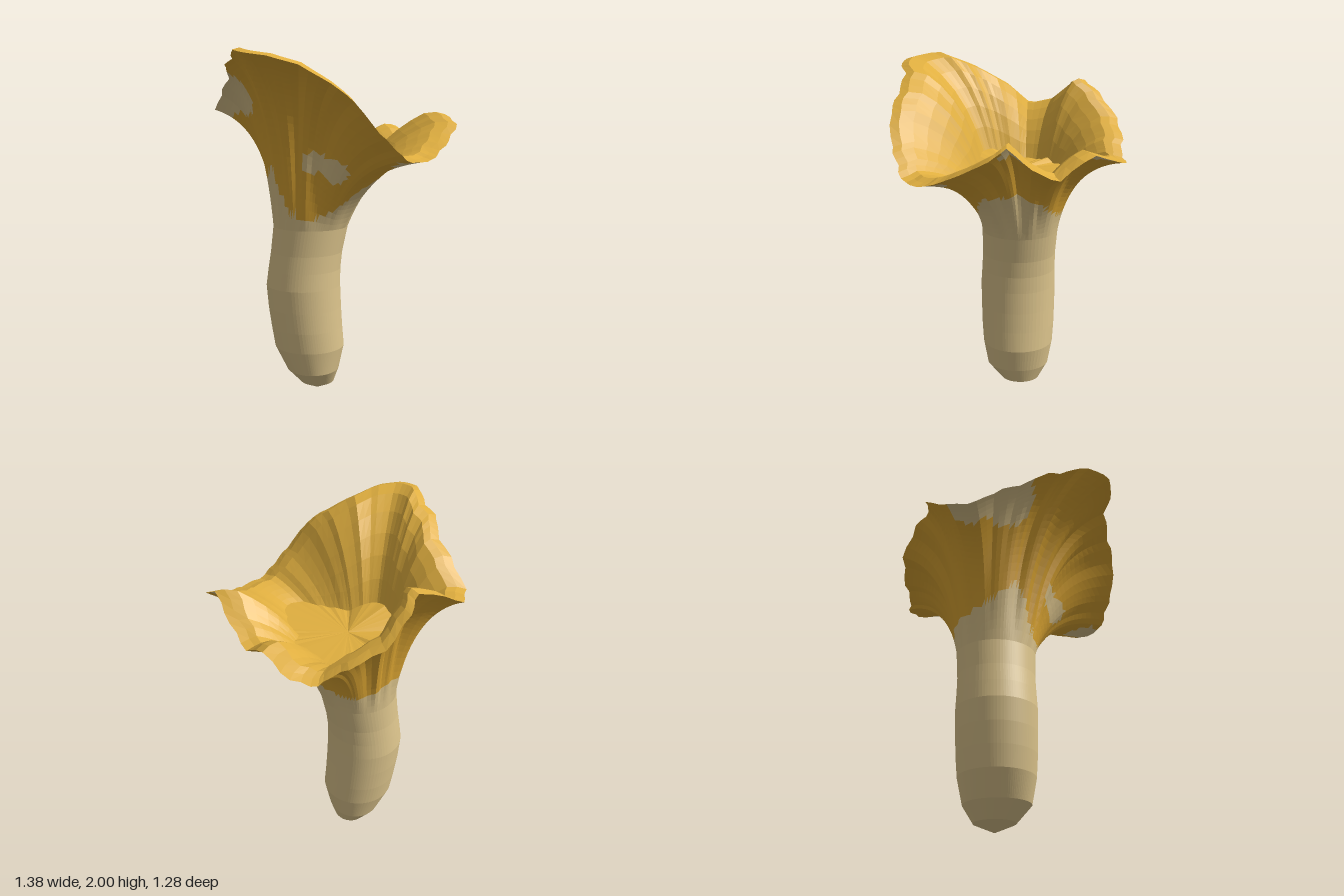
import * as THREE from 'three';

const N = 90;        // segments around
const ROWS = 22;     // rows on the flaring underside
const NECK = 1.0;    // height where the stem starts to flare
const FLOOR = 1.35;  // underside height below the edge of the cap floor

// Wavy rim: x, height, z
const RIM = [
  [.63, 1.65, 0], [.69, 1.6, .08], [.63, 1.52, .22], [.55, 1.45, .36], [.5, 1.42, .45],
  [.38, 1.42, .55], [.3, 1.5, .585], [.22, 1.58, .625], [.09, 1.74, .64], [-.02, 1.82, .61],
  [-.18, 1.91, .59], [-.33, 1.95, .635], [-.47, 1.97, .6], [-.52, 1.99, .46], [-.53, 1.95, .35],
  [-.585, 1.91, .25], [-.57, 1.86, .14], [-.63, 1.78, 0], [-.69, 1.66, -.13], [-.63, 1.7, -.3],
  [-.49, 1.83, -.44], [-.37, 1.85, -.44], [-.33, 1.79, -.52], [-.21, 1.66, -.62], [-.03, 1.57, -.64],
  [.07, 1.51, -.62], [.14, 1.47, -.645], [.28, 1.5, -.6], [.4, 1.57, -.44], [.48, 1.44, -.26],
  [.56, 1.53, -.12],
];

// Stem sections: height, centre x, radius x, centre z, radius z
const STEM = [
  [0, -.1, 0, -.07, 0], [.05, -.1, .1, -.07, .115], [.14, -.125, .155, -.055, .185],
  [.28, -.145, .205, -.055, .212], [.4, -.16, .21, -.055, .22], [.52, -.172, .215, -.055, .223],
  [.65, -.18, .218, -.055, .225], [.75, -.173, .212, -.057, .22], [.85, -.16, .21, -.06, .217],
  [NECK, -.136, .218, -.065, .223],
];

// Height where the cream stem turns golden, every 30 degrees
const EDGE = [1.3, 1.28, 1.12, 1.06, 1.1, 1.36, 1.24, 1.18, 1.17, 1.13, 1.13, 1.2];

// Pale patches on the underside: x, y, z, radius
const PATCHES = [
  [-.12, 1.37, .31, .1], [-.01, 1.33, .31, .09], [-.58, 1.76, .06, .16], [-.65, 1.67, -.17, .11],
  [.59, 1.6, -.02, .07], [.36, 1.49, -.48, .07], [.42, 1.39, .42, .11],
].map(([x, y, z, r]) => ({ centre: new THREE.Vector3(x, y, z), r }));

// Rim points joined by straight runs with a slight frill
const spokes = Array.from({ length: N }, (_, i) => {
  const f = i * RIM.length / N, k = Math.floor(f);
  const rim = new THREE.Vector3(...RIM[k]).lerp(new THREE.Vector3(...RIM[(k + 1) % RIM.length]), f - k);
  const angle = Math.atan2(rim.z, rim.x);
  const frill = 1 + 0.012 * Math.sin(i * 2.1);
  rim.x *= frill;
  rim.z *= frill;
  return { rim, angle };
});

const stemPoint = ([y, cx, rx, cz, rz], a) =>
  new THREE.Vector3(cx + rx * Math.cos(a), y, cz + rz * Math.sin(a));

// Smooth curve from neck to rim
function flare({ rim, angle }, t) {
  const neck = stemPoint(STEM[STEM.length - 1], angle);
  const rise = rim.y - NECK, right = Math.max(0, Math.cos(angle));
  const control = neck.clone().lerp(rim, 0.15 + 0.12 * right);
  control.y = NECK + rise * (1.03 - 0.24 * rise - 0.12 * right);
  return new THREE.QuadraticBezierCurve3(neck, control, rim).getPoint(t);
}

// Underside: the curve with shallow ridges running along it
function ridged(spoke, t) {
  const a = spoke.angle, p = flare(spoke, t);
  const ridge = 0.014 * Math.sin(Math.PI * t) * Math.sin(a * 13 + 2 * Math.sin(a * 3));
  p.x += ridge * Math.cos(a);
  p.z += ridge * Math.sin(a);
  return p;
}

// Where the curve climbs past the floor of the cap
function floorStart(spoke) {
  const level = Math.min(FLOOR, spoke.rim.y - 0.06);
  let t = 1;
  while (t > 0.3 && flare(spoke, t).y > level) t -= 0.01;
  return t;
}

// Upper skin from lip (f = 0) to floor (f = 1), set in by the flesh thickness
function inside(spoke, f) {
  const p = flare(spoke, THREE.MathUtils.lerp(1, floorStart(spoke), f));
  p.x -= 0.05 * Math.cos(spoke.angle);
  p.z -= 0.05 * Math.sin(spoke.angle);
  p.y += f === 0 ? 0.012 : 0.035;
  return p;
}

function isPale(p) {
  const a = Math.atan2(p.z + 0.06, p.x + 0.13) / (Math.PI / 6) + 12;
  const k = Math.floor(a);
  const edge = THREE.MathUtils.lerp(EDGE[k % 12], EDGE[(k + 1) % 12], a - k);
  return p.y < edge || PATCHES.some(s => s.centre.distanceTo(p) < s.r);
}

// Sort the triangles between successive rings into lists
function skin(rings, choose) {
  for (let j = 0; j < rings.length - 1; j++) {
    for (let i = 0; i < N; i++) {
      const k = (i + 1) % N;
      const a = rings[j][i], b = rings[j][k], c = rings[j + 1][i], d = rings[j + 1][k];
      for (const [p, q, r] of [[a, c, b], [b, c, d]]) {
        const area = q.clone().sub(p).cross(r.clone().sub(p)).length();
        const mid = p.clone().add(q).add(r).divideScalar(3);
        if (area > 1e-9) choose(mid).push(p, q, r);
      }
    }
  }
}

function flatMesh(name, points, material) {
  const geometry = new THREE.BufferGeometry().setFromPoints(points);
  geometry.computeVertexNormals();
  const mesh = new THREE.Mesh(geometry, material);
  mesh.name = name;
  return mesh;
}

function paint(name, color) {
  const material = new THREE.MeshStandardMaterial({ color });
  material.name = name;
  return material;
}

export function createModel() {
  const stem = [], underside = [], cap = [];

  // Stem
  skin(STEM.map(s => spokes.map(p => stemPoint(s, p.angle))), () => stem);

  // Ridged underside, flaring to the rim
  const under = [];
  for (let j = 0; j <= ROWS; j++) under.push(spokes.map(s => ridged(s, j / ROWS)));
  skin(under, mid => (isPale(mid) ? stem : underside));

  // Lip, walls and shallow floor of the cap
  const upper = [under[ROWS]];
  for (const f of [0, 0.15, 0.32, 0.5, 0.67, 0.84, 1]) upper.push(spokes.map(s => inside(s, f)));
  const last = upper[upper.length - 1];
  const centre = last.reduce((sum, p) => sum.add(p), new THREE.Vector3()).divideScalar(N);
  centre.y -= 0.02;
  for (const f of [0.3, 0.65, 1]) upper.push(last.map(p => p.clone().lerp(centre, f)));
  skin(upper, () => cap);

  const group = new THREE.Group();
  group.name = 'mushroom';
  group.add(
    flatMesh('stem', stem, paint('cream', 0xdcc48c)),
    flatMesh('underside', underside, paint('amber', 0xdaa432)),
    flatMesh('cap', cap, paint('gold', 0xdfae3f)),
  );
  return group;
}
